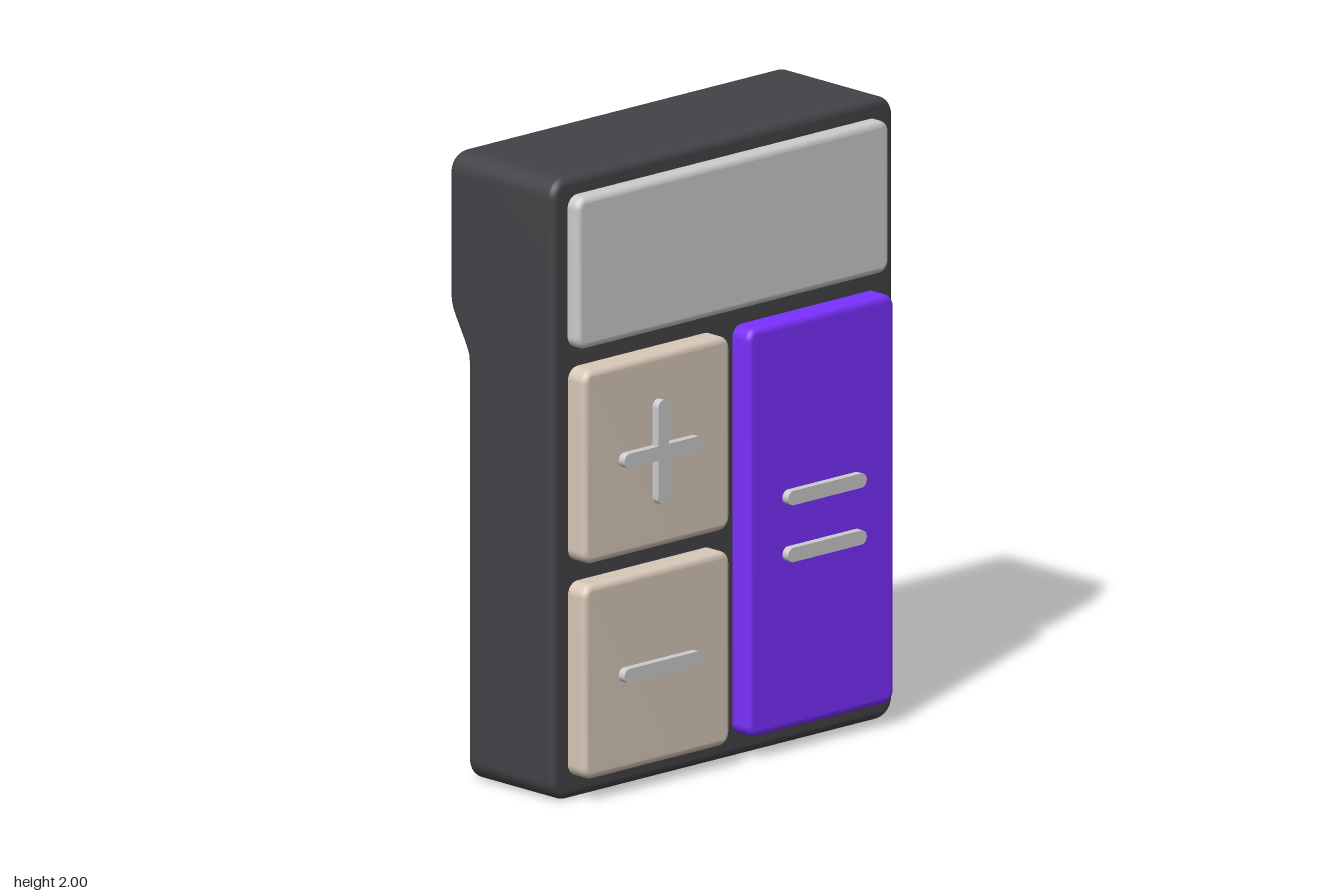
import * as THREE from 'three';

const mat = color => new THREE.MeshStandardMaterial({ color });

// Rounded slab with soft front and back edges. Stacks inset outlines from front to back;
// zBack(y) shapes the rear face and sideYs adds points up the long sides for it to bend at.
function slabGeometry({ x0, x1, y0, y1, r, bevel, zFront, zBack, sideYs = [] }) {
  const ARC = 6, STEPS = 4;
  const cx = (x0 + x1) / 2, hw = (x1 - x0) / 2;
  const outline = d => {
    const right = [], q = r - d;
    for (let i = 0; i <= ARC; i++) {
      const a = -Math.PI / 2 + (i / ARC) * Math.PI / 2;
      right.push([hw - r + q * Math.cos(a), y0 + r + q * Math.sin(a)]);
    }
    for (const y of sideYs) right.push([hw - d, y]);
    for (let i = 0; i <= ARC; i++) {
      const a = (i / ARC) * Math.PI / 2;
      right.push([hw - r + q * Math.cos(a), y1 - r + q * Math.sin(a)]);
    }
    return [...right, ...right.map(([x, y]) => [-x, y]).reverse()];
  };

  const pos = [], index = [];
  const rings = 2 * (STEPS + 1);
  for (let j = 0; j < rings; j++) {
    const front = j <= STEPS;
    const t = ((front ? j : rings - 1 - j) / STEPS) * Math.PI / 2;
    const inset = bevel * (1 - Math.sin(t)), drop = bevel * (1 - Math.cos(t));
    for (const [x, y] of outline(inset)) pos.push(cx + x, y, front ? zFront - drop : zBack(y) + drop);
  }
  const n = pos.length / 3 / rings, last = (rings - 1) * n;
  // walls
  for (let j = 0; j < rings - 1; j++) {
    for (let i = 0; i < n; i++) {
      const a = j * n + i, b = j * n + (i + 1) % n, c = a + n, d = b + n;
      index.push(a, c, b, b, c, d);
    }
  }
  // front and back caps, in strips from side to side
  for (let i = 0; i < n / 2 - 1; i++) {
    const k = i + 1, mi = n - 1 - i, mk = n - 1 - k;
    index.push(i, k, mk, i, mk, mi);
    index.push(last + i, last + mk, last + k, last + i, last + mi, last + mk);
  }
  const g = new THREE.BufferGeometry();
  g.setAttribute('position', new THREE.Float32BufferAttribute(pos, 3));
  g.setIndex(index);
  g.computeVertexNormals();
  return g;
}

// Round-ended bar (2 arms) or cross (4 arms)
function symbolGeometry(arms) {
  const half = 0.023, reach = 0.168 - half;
  const s = new THREE.Shape();
  for (let k = 0; k < arms; k++) {
    const a = (k / arms) * Math.PI * 2;
    const c = Math.cos(a), n = Math.sin(a);
    s.absarc(reach * c, reach * n, half, a - Math.PI / 2, a + Math.PI / 2, false);
    if (arms === 4) s.lineTo(half * (c - n), half * (c + n));
  }
  s.closePath();
  return new THREE.ExtrudeGeometry(s, { depth: 0.04, bevelEnabled: false, curveSegments: 10 });
}

export function createModel() {
  const model = new THREE.Group();
  model.name = 'calculator';
  const dark = mat(0x434347), beige = mat(0xd8c8b8), purple = mat(0x7a30ff), grey = mat(0xcccccc);

  const add = (name, geometry, material) => {
    const mesh = new THREE.Mesh(geometry, material);
    mesh.name = name;
    model.add(mesh);
    return mesh;
  };

  // Case: deeper behind the display, with a softened slope down to the thin part
  const slope = [[1.34, -0.202], [1.365, -0.205], [1.39, -0.215], [1.41, -0.226],
    [1.48, -0.266], [1.5, -0.276], [1.52, -0.282], [1.545, -0.285]];
  const caseBack = y => {
    if (y <= slope[0][0]) return slope[0][1];
    for (let i = 1; i < slope.length; i++) {
      const [ya, za] = slope[i - 1], [yb, zb] = slope[i];
      if (y <= yb) return za + (zb - za) * (y - ya) / (yb - ya);
    }
    return slope[slope.length - 1][1];
  };
  add('case', slabGeometry({
    x0: -0.73, x1: 0.73, y0: 0, y1: 2, r: 0.065, bevel: 0.025, zFront: 0.185,
    zBack: caseBack, sideYs: slope.map(p => p[0]),
  }), dark);

  // Display and keys, sunk slightly into the case
  const panel = (name, x0, x1, y0, y1, zFront, material) => add(name, slabGeometry({
    x0, x1, y0, y1, r: 0.04, bevel: 0.02, zFront, zBack: () => 0.15,
  }), material);
  panel('display', -0.667, 0.667, 1.45, 1.94, 0.233, grey);
  panel('plusKey', -0.665, -0.04, 0.765, 1.388, 0.26, beige);
  panel('minusKey', -0.665, -0.04, 0.073, 0.698, 0.26, beige);
  panel('equalsKey', 0.037, 0.662, 0.073, 1.388, 0.26, purple);

  // Raised symbols on the keys
  const bar = symbolGeometry(2), cross = symbolGeometry(4);
  const symbol = (name, geometry, x, y) => add(name, geometry, grey).position.set(x, y, 0.246);
  symbol('plusSymbol', cross, -0.352, 1.077);
  symbol('minusSymbol', bar, -0.352, 0.386);
  symbol('equalsUpperBar', bar, 0.348, 0.823);
  symbol('equalsLowerBar', bar, 0.348, 0.64);

  return model;
}
